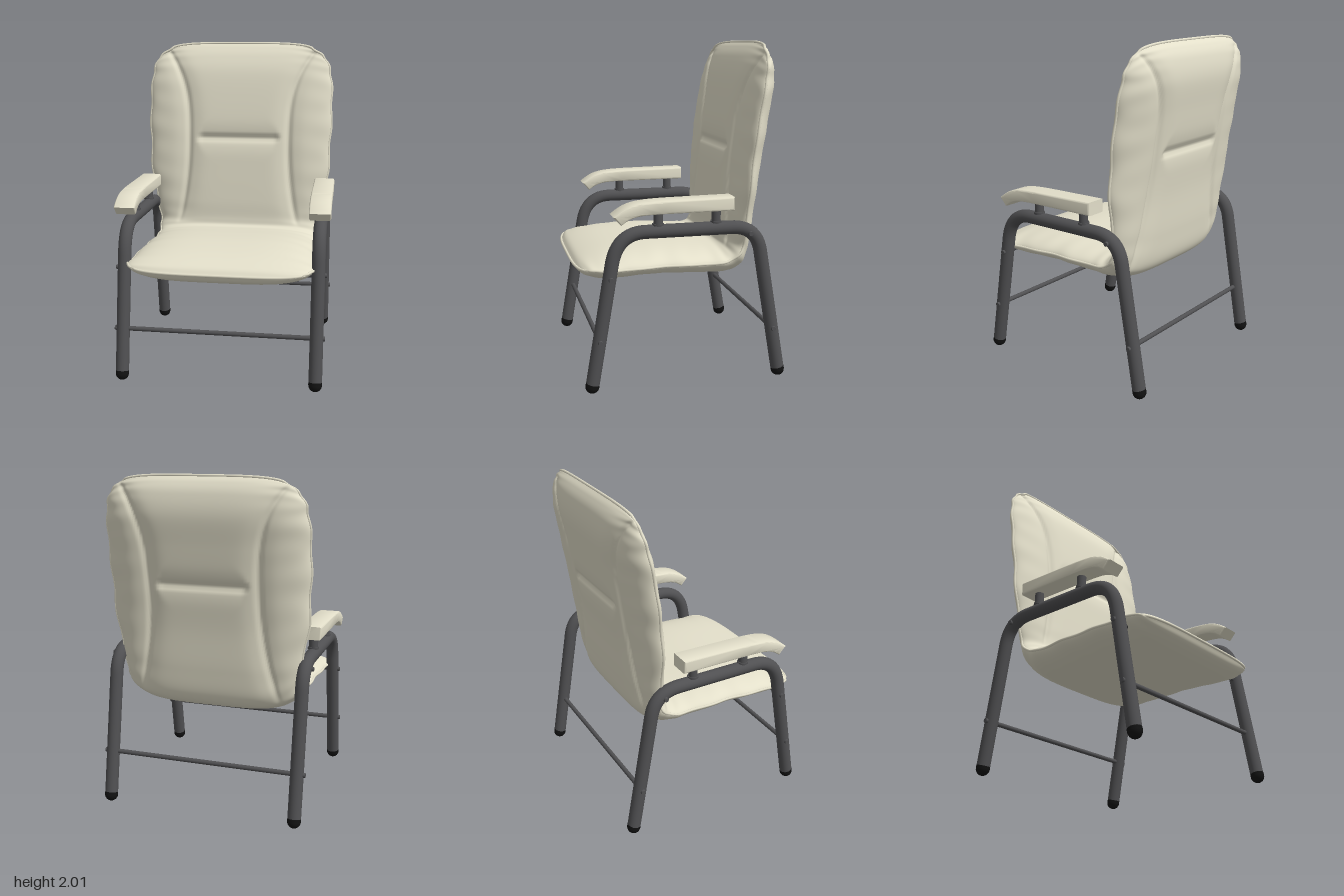
import * as THREE from 'three';
import { toCreasedNormals } from 'three/addons/utils/BufferGeometryUtils.js';

const mat = (color) => new THREE.MeshStandardMaterial({ color, roughness: 0.7 });
const leather = mat(0xe3dfca);
const steel = mat(0x505052);
const rubber = mat(0x121212);
const V = (x, y, z) => new THREE.Vector3(x, y, z);
const FRAME_X = 0.585;

function add(parent, name, geometry, material) {
  const mesh = new THREE.Mesh(geometry, material);
  mesh.name = name;
  parent.add(mesh);
  return mesh;
}

// Cushion sections from seat front to back top:
// [upper z, y, lower z, y, side edge z, y, half width]
const SECTIONS = [
  [0.62, 0.70, 0.62, 0.70, 0.56, 0.71, 0.50],
  [0.57, 0.745, 0.58, 0.65, 0.52, 0.715, 0.545],
  [0.42, 0.785, 0.45, 0.617, 0.40, 0.71, 0.555],
  [0.20, 0.805, 0.20, 0.625, 0.20, 0.715, 0.545],
  [0.00, 0.80, 0.00, 0.617, 0.00, 0.715, 0.54],
  [-0.18, 0.785, -0.20, 0.605, -0.20, 0.71, 0.535],
  [-0.265, 0.785, -0.34, 0.61, -0.30, 0.73, 0.535],
  [-0.285, 0.83, -0.425, 0.68, -0.36, 0.79, 0.54],
  [-0.29, 0.95, -0.46, 0.86, -0.37, 0.92, 0.56],
  [-0.305, 1.15, -0.485, 1.12, -0.38, 1.15, 0.60],
  [-0.325, 1.38, -0.525, 1.38, -0.40, 1.38, 0.61],
  [-0.355, 1.60, -0.56, 1.60, -0.43, 1.60, 0.615],
  [-0.395, 1.80, -0.587, 1.78, -0.46, 1.77, 0.605],
  [-0.44, 1.91, -0.575, 1.90, -0.475, 1.86, 0.585],
  [-0.48, 1.97, -0.545, 1.965, -0.485, 1.92, 0.545],
  [-0.51, 2.0, -0.51, 2.0, -0.49, 1.965, 0.48],
];
const spline = (f) => new THREE.CatmullRomCurve3(SECTIONS.map(f), false, 'catmullrom', 0.5);
const upper = spline((s) => V(0, s[1], s[0]));
const lower = spline((s) => V(0, s[3], s[2]));
const edge = spline((s) => V(s[6], s[5], s[4]));

const bell = (d, width) => Math.exp(-((d / width) ** 2));
const seamX = (y) => 0.335 + (y > 1.35 ? 0.165 * ((y - 1.35) / 0.6) ** 3 : 0.07 * ((1.35 - y) / 0.55) ** 2);

// Depth of the stitched seams and creases pressed into the backrest
function seamDepth(x, y, t) {
  const fade = THREE.MathUtils.smoothstep(t, 0.42, 0.52) * (1 - THREE.MathUtils.smoothstep(t, 0.9, 1));
  const ax = Math.abs(x), d = ax - seamX(y);
  const side = 0.018 * bell(d, 0.018) + 0.016 * bell(d, 0.07);
  const across = 1 - THREE.MathUtils.smoothstep(ax, 0.24, 0.31);
  const crease = across * (0.02 * bell(y - 1.375, 0.018) + 0.012 * bell(y - 1.375, 0.07));
  return fade * Math.max(side, crease);
}

// Point on the cushion at t along its length and u across it
function cushionPoint(t, u, isUpper) {
  const e = edge.getPoint(t);
  const a = upper.getPoint(t), b = lower.getPoint(t);
  const face = isUpper ? a : b;
  const au = Math.abs(u);
  const fill = Math.pow(Math.max(0, 1 - au ** 4), 0.6);
  const x = u * (e.x + 0.005 * Math.sin(t * 75) * au ** 3);
  const p = V(x, e.y + (face.y - e.y) * fill, e.z + (face.z - e.z) * fill);
  const inward = (isUpper ? b.clone().sub(a) : a.clone().sub(b));
  if (inward.length() > 1e-4) {
    const wrinkle = 0.004 * Math.sin(t * 130 + 3 * u) * au ** 5 * fill;
    p.addScaledVector(inward.normalize(), seamDepth(x, p.y, t) * fill + wrinkle);
  }
  return p;
}

function cushionGeometry(rows = 190, ring = 240) {
  const pos = [], index = [];
  for (let i = 0; i <= rows; i++) {
    for (let k = 0; k < ring; k++) {
      const angle = (k / ring) * Math.PI * 2;
      const p = cushionPoint(i / rows, Math.cos(angle), k <= ring / 2);
      pos.push(p.x, p.y, p.z);
      if (i === rows) continue;
      const a = i * ring + k, b = i * ring + ((k + 1) % ring);
      index.push(a, a + ring, b, b, a + ring, b + ring);
    }
  }
  const g = new THREE.BufferGeometry();
  g.setAttribute('position', new THREE.Float32BufferAttribute(pos, 3));
  g.setIndex(index);
  g.computeVertexNormals();
  return g;
}

// Piping running round the whole outline of the cushion
function pipingGeometry() {
  const pts = [], n = 70, m = 14;
  for (let i = 0; i < n; i++) pts.push(cushionPoint(i / n, 1, true));
  for (let i = 0; i < m; i++) pts.push(cushionPoint(1, Math.cos((i / m) * Math.PI), true));
  for (let i = 0; i < n; i++) pts.push(cushionPoint(1 - i / n, -1, true));
  for (let i = 0; i < m; i++) pts.push(cushionPoint(0, -Math.cos((i / m) * Math.PI), true));
  return new THREE.TubeGeometry(new THREE.CatmullRomCurve3(pts, true), 400, 0.008, 8, true);
}

// Bent tube forming front leg, arm rail and rear leg
function frameCurve() {
  const path = new THREE.CurvePath();
  const p = [V(0, 0.045, 0.557), V(0, 0.76, 0.436), V(0, 0.94, 0.24), V(0, 0.94, -0.27), V(0, 0.79, -0.452), V(0, 0.045, -0.58)];
  path.add(new THREE.LineCurve3(p[0], p[1]));
  path.add(new THREE.QuadraticBezierCurve3(p[1], V(0, 0.94, 0.405), p[2]));
  path.add(new THREE.LineCurve3(p[2], p[3]));
  path.add(new THREE.QuadraticBezierCurve3(p[3], V(0, 0.94, -0.426), p[4]));
  path.add(new THREE.LineCurve3(p[4], p[5]));
  return path;
}

// Armrest pad with a drooping front end
function armrestGeometry() {
  const s = new THREE.Shape();
  s.moveTo(-0.258, 1.062);
  s.lineTo(-0.258, 1.117);
  s.lineTo(0.12, 1.112);
  s.bezierCurveTo(0.30, 1.107, 0.34, 1.10, 0.418, 1.042);
  s.lineTo(0.388, 1.01);
  s.bezierCurveTo(0.33, 1.055, 0.28, 1.06, 0.12, 1.06);
  s.closePath();
  const g = new THREE.ExtrudeGeometry(s, {
    depth: 0.104, bevelThickness: 0.013, bevelSize: 0.012, bevelSegments: 4, curveSegments: 14,
  });
  g.translate(0, 0, -0.052).rotateY(-Math.PI / 2);
  return toCreasedNormals(g, 0.7);
}

export function createModel() {
  const chair = new THREE.Group();
  chair.name = 'armchair';

  const cushion = new THREE.Group();
  cushion.name = 'cushion';
  chair.add(cushion);
  add(cushion, 'seatAndBack', cushionGeometry(), leather);
  add(cushion, 'piping', pipingGeometry(), leather);

  // Cross bars with their bolt positions: [z, y]
  const bars = [[0.512, 0.313], [0.447, 0.68], [-0.377, 0.905], [-0.533, 0.313]];
  for (const [z, y] of bars) {
    const bar = add(chair, 'crossBar', new THREE.CylinderGeometry(0.014, 0.014, 2 * FRAME_X, 16), steel);
    bar.rotation.z = Math.PI / 2;
    bar.position.set(0, y, z);
  }

  const tube = new THREE.TubeGeometry(frameCurve(), 110, 0.04, 20);
  const arm = armrestGeometry();
  for (const side of [1, -1]) {
    const group = new THREE.Group();
    group.name = side > 0 ? 'leftSide' : 'rightSide';
    group.position.x = side * FRAME_X;
    chair.add(group);
    add(group, 'legFrame', tube, steel);
    add(group, 'armrest', arm, leather);

    // Rubber feet follow the slope of the legs
    for (const [z, tilt] of [[0.557, -0.168], [-0.58, 0.17]]) {
      const foot = add(group, 'foot', new THREE.CapsuleGeometry(0.0405, 0.012, 8, 20), rubber);
      foot.position.set(0, 0.0465, z);
      foot.rotation.x = tilt;
    }
    // Posts and washers carrying the armrest
    for (const z of [0.167, -0.177]) {
      add(group, 'armPost', new THREE.CylinderGeometry(0.027, 0.027, 0.12, 20), steel).position.set(0, 1.01, z);
      add(group, 'armWasher', new THREE.CylinderGeometry(0.033, 0.033, 0.012, 20), steel).position.set(0, 0.98, z);
    }
    // Bolt heads on the outer face of the tube
    for (const [z, y] of bars) {
      const bolt = add(group, 'bolt', new THREE.CylinderGeometry(0.013, 0.017, 0.025, 16), steel);
      bolt.rotation.z = -side * Math.PI / 2;
      bolt.position.set(side * 0.038, y, z);
    }
  }
  return chair;
}
